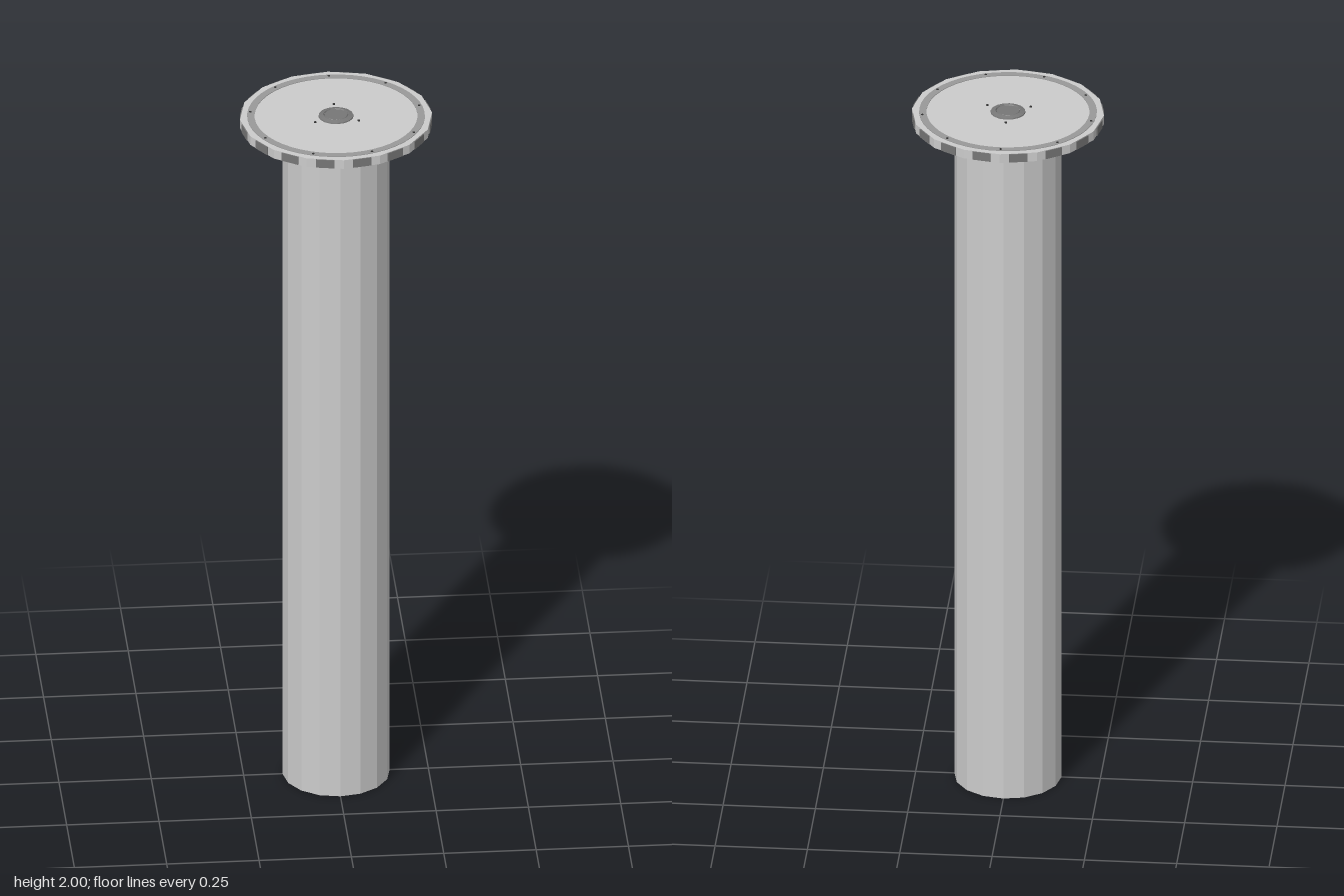
import * as THREE from 'three';

const mat = (color) => new THREE.MeshStandardMaterial({ color, flatShading: true });
const grey = mat(0xcccccc);
const midGrey = mat(0x999999);
const darkGrey = mat(0x777777);
const black = mat(0x333333);

function add(parent, name, geometry, material, x = 0, y = 0, z = 0) {
  const mesh = new THREE.Mesh(geometry, material);
  mesh.name = name;
  mesh.position.set(x, y, z);
  parent.add(mesh);
  return mesh;
}

// Closed or open profile of [radius, height] pairs turned about the y axis
const lathe = (points, sides) =>
  new THREE.LatheGeometry(points.map(([r, y]) => new THREE.Vector2(r, y)), sides);

export function createModel() {
  const model = new THREE.Group();
  model.name = 'flangedColumn';

  // Sixteen-sided column
  add(model, 'column', new THREE.CylinderGeometry(0.145, 0.145, 1.97, 16), grey, 0, 0.985);

  // Flat disc on top
  add(model, 'disc', new THREE.CylinderGeometry(0.26, 0.26, 0.026, 16), grey, 0, 1.981);

  // Dark grips, one on the middle of each rim facet
  const grips = new THREE.Group();
  grips.name = 'rimGrips';
  const gripGeometry = new THREE.BoxGeometry(0.05, 0.024, 0.03);
  for (let i = 0; i < 16; i++) {
    const a = ((i + 0.5) / 16) * Math.PI * 2;
    const grip = add(grips, 'rimGrip', gripGeometry, darkGrey,
      Math.sin(a) * 0.243, 1.981, Math.cos(a) * 0.243);
    grip.rotation.y = a;
  }
  model.add(grips);

  // Darker band near the edge of the disc
  add(model, 'band', lathe([[0.24, 1.994], [0.24, 1.9955], [0.22, 1.9955], [0.22, 1.994]], 48), midGrey);

  // Central hub with a sloped collar and a sunken cap
  add(model, 'hubCollar', lathe([
    [0.048, 1.993], [0.047, 1.997], [0.036, 2], [0.034, 2], [0.032, 1.996],
  ], 16), darkGrey);
  add(model, 'hubCap', new THREE.CylinderGeometry(0.03, 0.033, 0.005, 24), darkGrey, 0, 1.9965);

  // Screws: nine on the band, three around the hub
  const screwGeometry = new THREE.CylinderGeometry(0.0035, 0.0035, 0.004, 8);
  for (const [name, count, radius] of [['bandScrew', 9, 0.232], ['hubScrew', 3, 0.068]]) {
    for (let i = 0; i < count; i++) {
      const a = (i / count) * Math.PI * 2;
      add(model, name, screwGeometry, black, Math.sin(a) * radius, 1.995, -Math.cos(a) * radius);
    }
  }
  return model;
}
